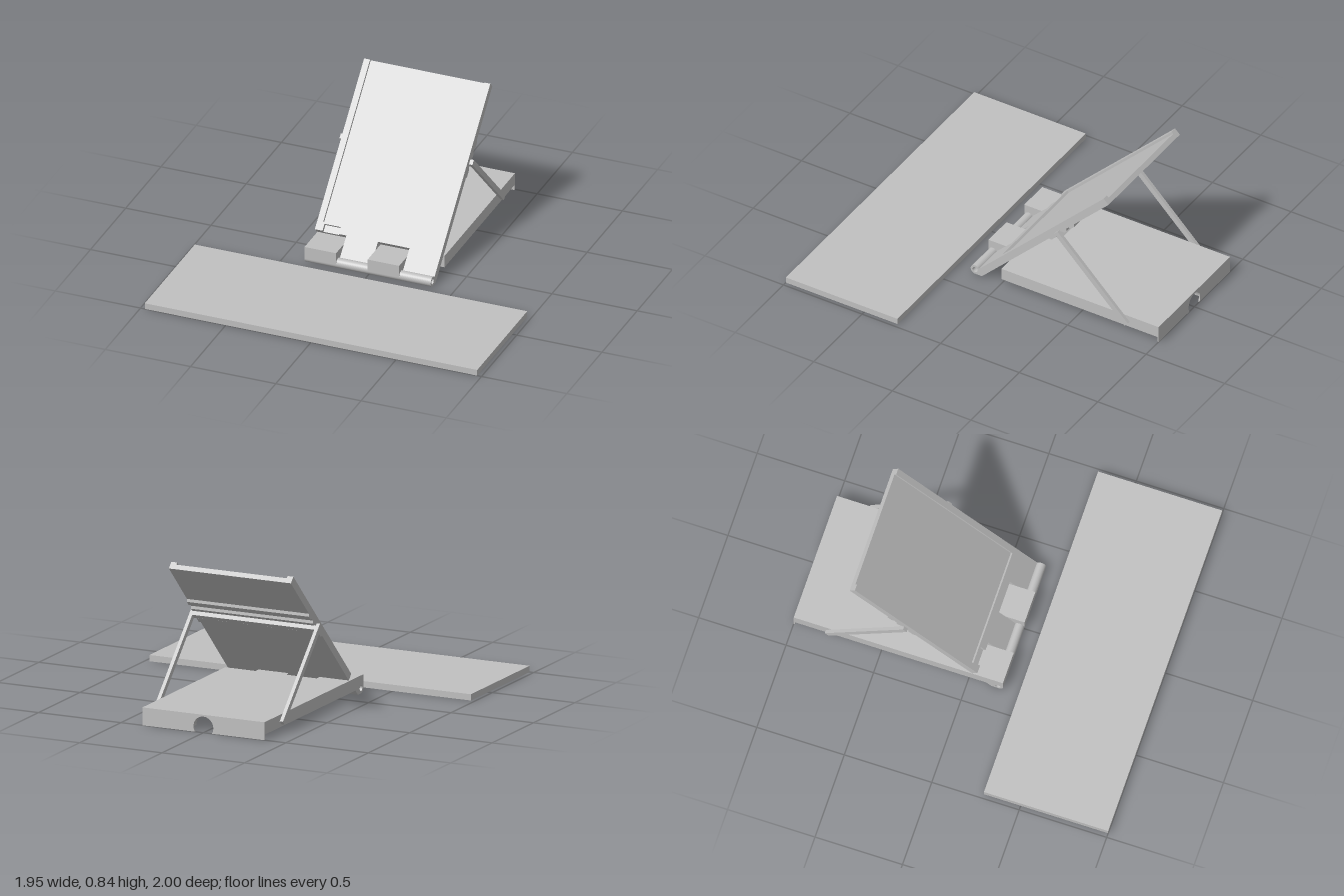
import * as THREE from 'three';

export function createModel() {
  const model = new THREE.Group();
  const grey = new THREE.MeshStandardMaterial({ color: 0xc0c0c0 });
  grey.name = 'light grey';

  const add = (parent, name, geometry) => {
    const mesh = new THREE.Mesh(geometry, grey);
    mesh.name = name;
    parent.add(mesh);
    return mesh;
  };
  // Box given by its limits on each axis
  const box = (parent, name, x0, x1, y0, y1, z0, z1) =>
    add(parent, name, new THREE.BoxGeometry(x1 - x0, y1 - y0, z1 - z0))
      .position.set((x0 + x1) / 2, (y0 + y1) / 2, (z0 + z1) / 2);
  // Shape in x, y extruded from z0 to z1
  const plate = (parent, name, shape, z0, z1) => {
    const g = new THREE.ExtrudeGeometry(shape, { depth: z1 - z0, bevelEnabled: false, curveSegments: 24 });
    add(parent, name, g.translate(0, 0, z0));
  };
  // Side profile in z, y extruded from x0 to x1
  const prism = (parent, name, shape, x0, x1) => {
    const g = new THREE.ExtrudeGeometry(shape, { depth: x1 - x0, bevelEnabled: false, curveSegments: 24 });
    add(parent, name, g.rotateY(-Math.PI / 2).translate(x1, 0, 0));
  };
  const polygon = (pts) => new THREE.Shape(pts.map(([x, y]) => new THREE.Vector2(x, y)));

  const W = 0.37;

  // Flat keyboard slab in front
  box(model, 'keyboard', -0.975, 0.975, 0, 0.035, 0.29, 1);

  // Hollow base tray, open underneath
  const base = new THREE.Group();
  base.name = 'base';
  model.add(base);
  box(base, 'baseTop', -W, W, 0.08, 0.1, -0.965, 0);
  box(base, 'baseFrontWall', -W, W, 0.03, 0.08, -0.027, 0);
  for (const s of [-1, 1]) {
    const a = s * W, b = s * (W - 0.027);
    box(base, 'baseSideWall', Math.min(a, b), Math.max(a, b), 0.03, 0.08, -0.965, -0.027);
  }
  // Back wall and its thin lip, both cut by the round cable notch
  const notchedWall = (y0) => {
    const cy = 0.03, r = 0.06, a = Math.asin((y0 - cy) / r);
    const s = new THREE.Shape();
    s.moveTo(-W, y0);
    s.lineTo(-r * Math.cos(a), y0);
    s.absarc(0, cy, r, Math.PI - a, a, true);
    s.lineTo(W, y0);
    s.lineTo(W, 0.1);
    s.lineTo(-W, 0.1);
    s.closePath();
    return s;
  };
  plate(base, 'baseBackWall', notchedWall(0.03), -0.992, -0.965);
  plate(base, 'baseBackLip', notchedWall(0), -1, -0.992);

  // Hinge: base blocks alternate with panel lugs around one open bore
  const hz = 0.168, hy = 0.028, hr = 0.028;
  const bore = () => {
    const h = new THREE.Path();
    h.absarc(hz, hy, 0.016, 0, Math.PI * 2, false);
    return h;
  };
  const block = new THREE.Shape();
  block.moveTo(0, 0.1);
  block.lineTo(0, 0.03);
  block.lineTo(0.1, 0.03);
  block.lineTo(0.13, 0);
  block.lineTo(hz, 0);
  block.absarc(hz, hy, hr, -Math.PI / 2, 0, false);
  block.lineTo(hz + hr, 0.1);
  block.closePath();
  block.holes.push(bore());

  const lug = new THREE.Shape();
  lug.moveTo(0.05, 0.135);
  lug.lineTo(0.0198, 0.1047);
  lug.lineTo(0.1245, 0);
  lug.lineTo(hz, 0);
  lug.absarc(hz, hy, hr, -Math.PI / 2, Math.PI * 0.83, false);
  lug.closePath();
  lug.holes.push(bore());

  for (const x of [-W, 0]) {
    prism(base, 'hingeBlock', block, x, x + W / 2);
    prism(model, 'hingeLug', lug, x + W / 2, x + W);
  }

  // Leaning panel: local y runs up the slope, local z faces out of the screen
  const panel = new THREE.Group();
  panel.name = 'panel';
  panel.rotation.x = -Math.PI / 4;
  model.add(panel);
  const top = 1.05, back = 0.088, mid = 0.111, front = 0.131;
  box(panel, 'panelBack', -W, W, 0.06, top, back, mid);
  box(panel, 'screen', -0.335, 0.335, 0.11, top, mid, 0.117);
  // Raised frame with side rails and a small pocket above one hinge block
  plate(panel, 'screenFrame', polygon([
    [-W, 0.06], [-0.325, 0.06], [-0.325, 0.1], [-0.23, 0.1], [-0.23, 0.06], [W, 0.06],
    [W, top], [0.335, top], [0.335, 0.11], [-0.335, 0.11], [-0.335, top], [-W, top],
  ]), mid, front);
  // Ridges on the back that hold the prop bar, with sloped shoulders
  for (const [u0, u1] of [[0.515, 0.575], [0.63, 0.67], [0.69, 0.74]]) {
    prism(panel, 'stopRidge', polygon([
      [back, u0], [back, u1], [back - 0.013, u1 - 0.01], [back - 0.013, u0 + 0.01],
    ]), -W, W);
  }

  // Prop: two arms outside the base joined by a bar behind the panel
  const prop = new THREE.Group();
  prop.name = 'prop';
  prop.rotation.x = -Math.PI / 4;
  model.add(prop);
  box(prop, 'propArm', W, W + 0.02, 0.592, 0.622, -0.532, 0.101);
  box(prop, 'propArm', -W - 0.02, -W, 0.592, 0.622, -0.532, 0.101);
  box(prop, 'propBar', -W, W, 0.592, 0.622, 0.06, back);

  return model;
}
